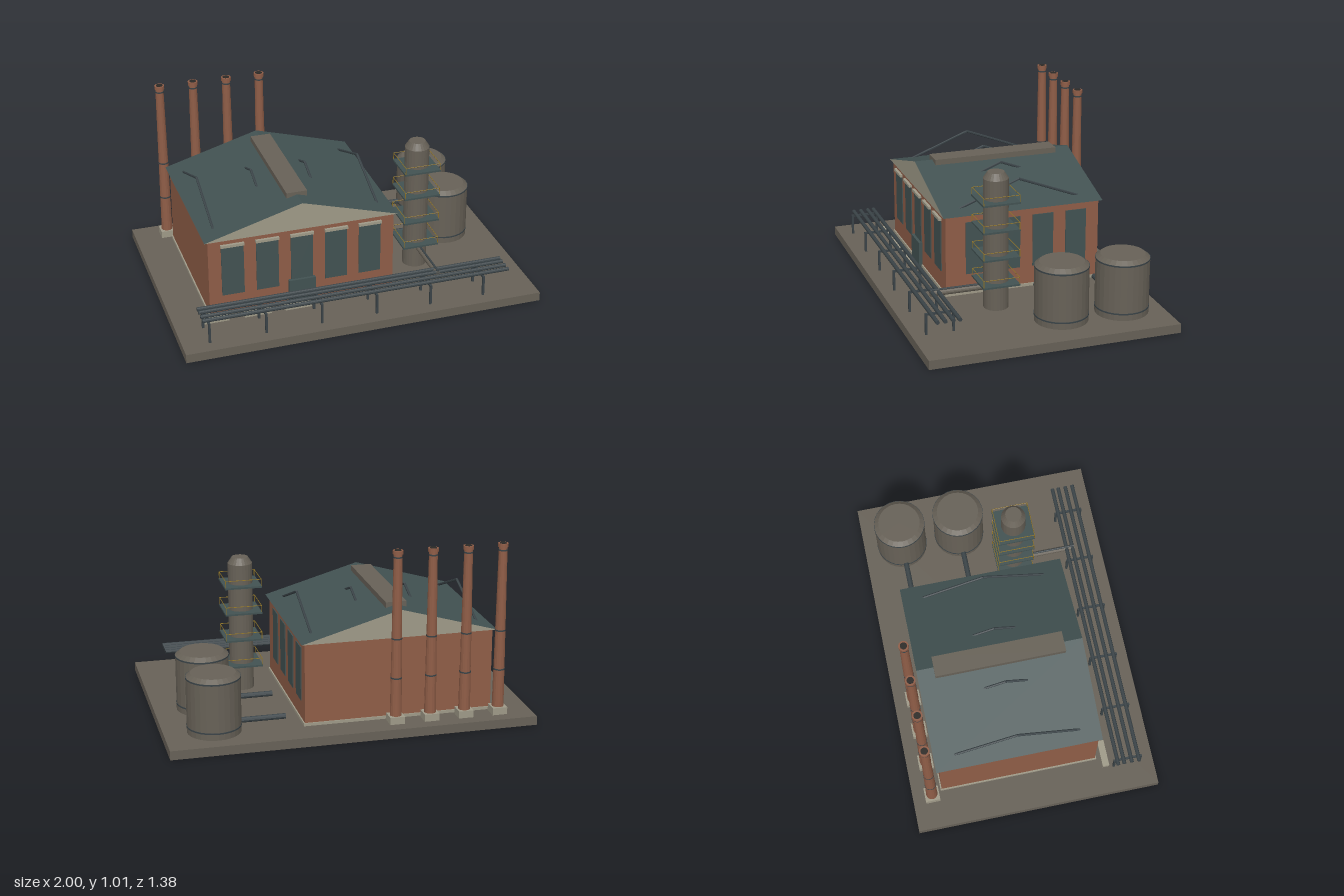
import * as THREE from 'three';

export function createModel() {
  const root = new THREE.Group();
  const mat = (name, color, extra = {}) => {
    const m = new THREE.MeshStandardMaterial({ color, flatShading: true, ...extra });
    m.name = name;
    return m;
  };
  const brick = mat('brick', 0x8f5d47);
  const slate = mat('slate teal', 0x425252);
  const grey = mat('weathered grey', 0x676157);
  const stone = mat('pale stone', 0x9f9a88);
  const steel = mat('dark steel', 0x3a4347);
  const gold = mat('safety yellow', 0x8f7326);
  const soot = mat('soot', 0x2c2926);

  const group = (name, parent = root) => {
    const g = new THREE.Group();
    g.name = name;
    parent.add(g);
    return g;
  };
  const add = (name, geo, material, parent = root) => {
    const m = new THREE.Mesh(geo, material);
    m.name = name;
    parent.add(m);
    return m;
  };
  // Box from its lower and upper limits on each axis
  const box = (name, [x0, x1], [y0, y1], [z0, z1], material, parent) => {
    const m = add(name, new THREE.BoxGeometry(x1 - x0, y1 - y0, z1 - z0), material, parent);
    m.position.set((x0 + x1) / 2, (y0 + y1) / 2, (z0 + z1) / 2);
    return m;
  };
  // Upright cylinder or cone frustum
  const drum = (name, x, z, y0, y1, r0, r1, sides, material, parent) => {
    const m = add(name, new THREE.CylinderGeometry(r1, r0, y1 - y0, sides), material, parent);
    m.position.set(x, (y0 + y1) / 2, z);
    return m;
  };
  // Straight round bar between two points
  const bar = (name, a, b, r, material, parent, sides = 8) => {
    const p = new THREE.Vector3(...a), q = new THREE.Vector3(...b);
    const d = q.clone().sub(p);
    const m = add(name, new THREE.CylinderGeometry(r, r, d.length(), sides), material, parent);
    m.position.copy(p).add(q).multiplyScalar(0.5);
    m.quaternion.setFromUnitVectors(new THREE.Vector3(0, 1, 0), d.normalize());
    return m;
  };

  box('groundSlab', [-1, 1], [0, 0.05], [-0.69, 0.69], grey);

  // Brick hall
  const hall = group('hall');
  box('walls', [-0.79, 0.25], [0.05, 0.515], [-0.52, 0.367], brick, hall);
  box('plinth', [-0.797, 0.257], [0.05, 0.066], [-0.527, 0.374], stone, hall);

  // Gabled roof with pale gable ends
  const gable = new THREE.Shape([
    new THREE.Vector2(-0.81, 0.51), new THREE.Vector2(0.27, 0.51), new THREE.Vector2(-0.27, 0.665),
  ]);
  const roofGeo = new THREE.ExtrudeGeometry(gable, { depth: 0.92, bevelEnabled: false });
  add('roof', roofGeo, [stone, slate], hall).position.z = -0.537;
  box('ridgeMonitor', [-0.328, -0.213], [0.61, 0.68], [-0.442, 0.28], grey, hall);

  // Front windows with lintels, and the door
  for (let i = 0; i < 5; i++) {
    const x = -0.657 + i * 0.1925;
    box('frontWindow', [x - 0.062, x + 0.062], [0.17, 0.465], [0.365, 0.372], slate, hall);
    box('windowLintel', [x - 0.065, x + 0.065], [0.465, 0.48], [0.36, 0.383], stone, hall);
  }
  box('door', [-0.35, -0.2], [0.05, 0.2], [0.36, 0.388], slate, hall);

  // Windows along the wall facing the tanks
  for (let i = 0; i < 4; i++) {
    const z = 0.193 - i * 0.193;
    box('sideWindow', [0.248, 0.255], [0.167, 0.467], [z - 0.06, z + 0.06], slate, hall);
  }

  // Roof frames rising through the slopes
  for (const x of [-0.733, -0.427, -0.117, 0.19]) {
    const frame = group('roofFrame', hall);
    for (const z of [0.275, -0.425])
      bar('rafter', [x, 0.525, z], [x, 0.661, -0.075], 0.007, steel, frame, 6);
  }

  // Pale slabs in front of the hall
  for (const x of [-0.85, -0.615, -0.387])
    box('pavingBlock', [x, x + 0.15], [0.05, 0.075], [0.4, 0.437], stone);

  // Row of chimneys behind the hall
  for (const x of [-0.812, -0.62, -0.427, -0.235]) {
    const chimney = group('chimney');
    const z = -0.58;
    box('footing', [x - 0.041, x + 0.041], [0.05, 0.09], [z - 0.041, z + 0.041], stone, chimney);
    drum('shaft', x, z, 0.09, 0.985, 0.032, 0.023, 16, brick, chimney);
    for (const [y, r] of [[0.3, 0.0315], [0.52, 0.029], [0.965, 0.0245]])
      drum('band', x, z, y, y + 0.008, r, r, 16, steel, chimney);
    drum('cap', x, z, 0.985, 1.005, 0.028, 0.028, 16, brick, chimney);
    drum('flue', x, z, 1.0, 1.007, 0.019, 0.019, 16, soot, chimney);
  }

  // Distillation column with four railed platforms
  const column = group('column');
  const cx = 0.46, cz = 0.152, half = 0.103;
  drum('columnShell', cx, cz, 0.05, 0.78, 0.068, 0.068, 24, grey, column);
  drum('columnHead', cx, cz, 0.78, 0.815, 0.068, 0.045, 24, grey, column);
  for (const y of [0.2, 0.355, 0.51, 0.662]) {
    box('platform', [cx - half, cx + half], [y - 0.005, y + 0.005],
      [cz - half, cz + half], slate, column);
    const corners = [[1, 1], [1, -1], [-1, -1], [-1, 1]].map(([a, b]) => [cx + a * 0.1, cz + b * 0.1]);
    corners.forEach(([x, z], i) => {
      const [x2, z2] = corners[(i + 1) % 4];
      bar('railPost', [x, y, z], [x, y + 0.044, z], 0.002, gold, column, 5);
      bar('handrail', [x, y + 0.043, z], [x2, y + 0.043, z2], 0.002, gold, column, 5);
    });
  }
  bar('columnFeedPipe', [cx, 0.172, 0.2], [cx, 0.172, 0.52], 0.016, grey, column, 12);
  bar('columnReturnPipe', [cx, 0.19, 0.2], [cx, 0.19, 0.52], 0.006, steel, column, 8);

  // Storage tanks with outlet pipes
  for (const z of [-0.465, -0.12]) {
    const tank = group('storageTank');
    const x = 0.73;
    drum('tankShell', x, z, 0.05, 0.36, 0.145, 0.145, 28, grey, tank);
    drum('tankLid', x, z, 0.36, 0.38, 0.145, 0.12, 28, grey, tank);
    for (const y of [0.083, 0.352])
      drum('tankHoop', x, z, y, y + 0.008, 0.147, 0.147, 28, steel, tank);
    bar('tankOutlet', [0.343, 0.095, z], [0.62, 0.095, z], 0.015, steel, tank, 10);
  }

  // Pipe rack along the front edge
  const rack = group('pipeRack');
  for (const z of [0.475, 0.51, 0.553, 0.595])
    bar('rackPipe', [-0.885, 0.178, z], [0.845, 0.178, z], 0.011, steel, rack, 10);
  for (let i = 0; i < 6; i++) {
    const x = -0.853 + i * 0.309;
    box('rackBeam', [x - 0.006, x + 0.006], [0.157, 0.168], [0.457, 0.618], steel, rack);
    for (const z of [0.463, 0.612])
      box('rackPost', [x - 0.006, x + 0.006], [0.05, 0.16], [z - 0.006, z + 0.006], steel, rack);
  }

  return root;
}
